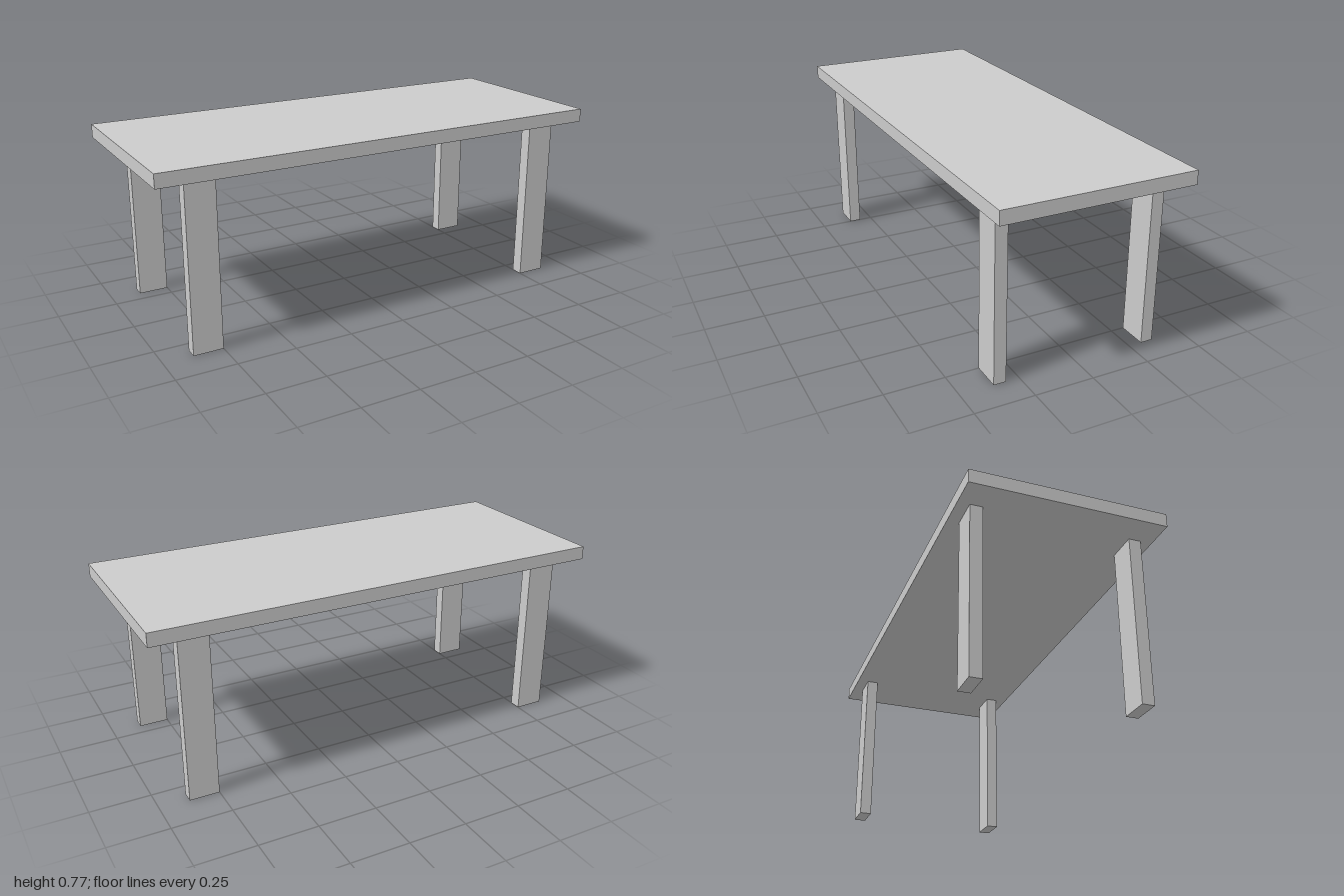
import * as THREE from 'three';

const HEIGHT = 0.773;
const TOP = { width: 2, thickness: 0.058, depth: 0.816 };
const LEG = { width: 0.126, depth: 0.052, x: 0.813, z: 0.333 };

export function createModel() {
  const table = new THREE.Group();
  table.name = 'table';
  const material = new THREE.MeshStandardMaterial({ color: 0xcccccc });

  const addBox = (name, width, height, depth, x, y, z) => {
    const mesh = new THREE.Mesh(new THREE.BoxGeometry(width, height, depth), material);
    mesh.name = name;
    mesh.position.set(x, y, z);
    table.add(mesh);
  };

  // Flat rectangular slab
  addBox('tabletop', TOP.width, TOP.thickness, TOP.depth, 0, HEIGHT - TOP.thickness / 2, 0);

  // Four plank legs, mirrored across both axes
  const legHeight = HEIGHT - TOP.thickness;
  for (const [end, sz] of [['front', 1], ['back', -1]]) {
    for (const [side, sx] of [['Left', 1], ['Right', -1]]) {
      addBox(`${end}${side}Leg`, LEG.width, legHeight, LEG.depth, sx * LEG.x, legHeight / 2, sz * LEG.z);
    }
  }
  return table;
}
